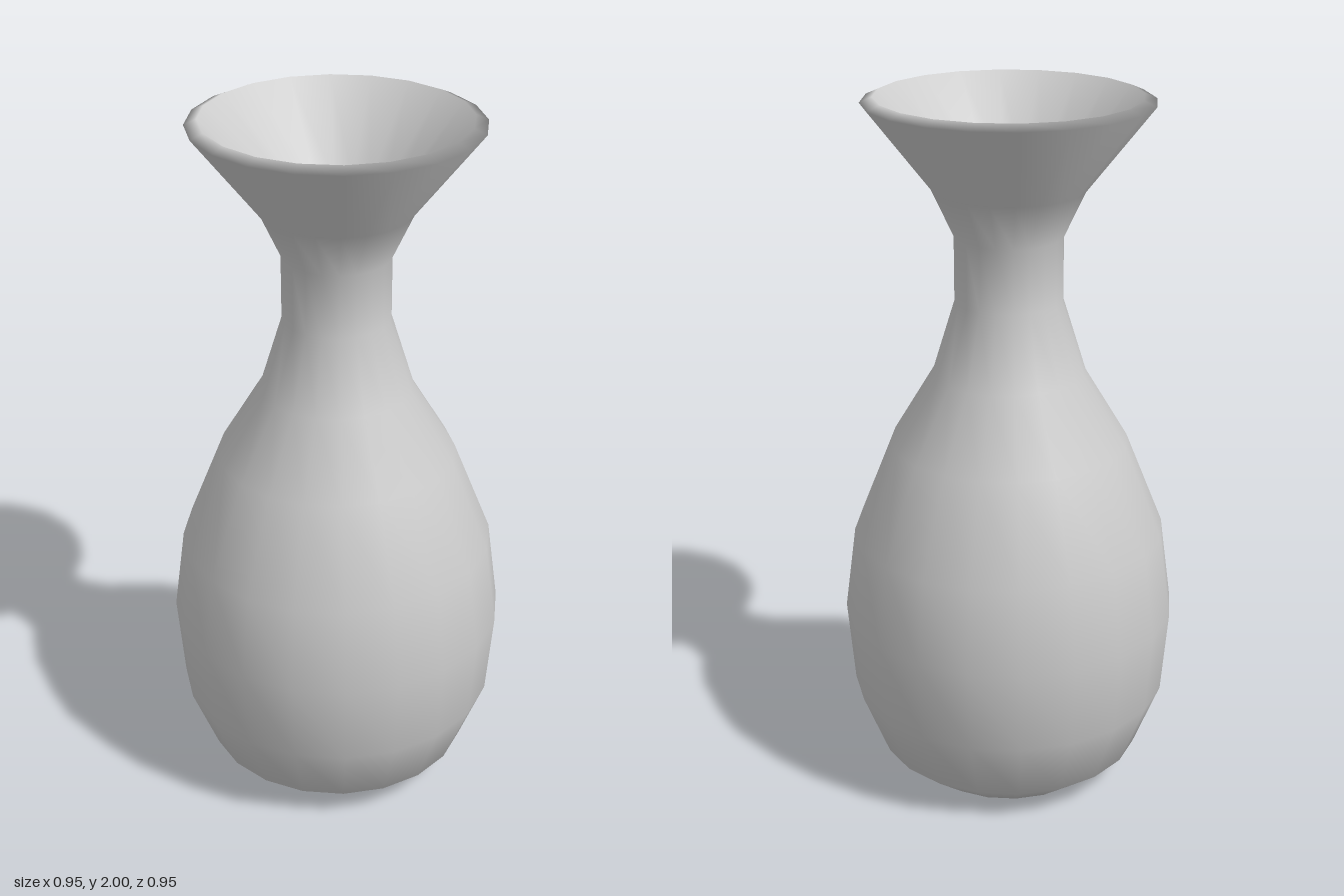
import * as THREE from 'three';

const SIDES = 20;

// Outer wall, from the foot up to the flared lip: [radius, height]
const outer = [
  [0.265, 0], [0.38, 0.09], [0.455, 0.28], [0.475, 0.52], [0.443, 0.76],
  [0.335, 1.03], [0.215, 1.23], [0.15, 1.44], [0.15, 1.62], [0.21, 1.75], [0.394, 1.985],
];

// Inner wall, from the lip down through the neck to the floor
const inner = [
  [0.36, 2], [0.165, 1.775], [0.095, 1.635], [0.095, 1.43], [0.163, 1.205],
  [0.285, 1.0], [0.39, 0.745], [0.42, 0.52], [0.402, 0.295], [0.34, 0.13], [0.245, 0.055],
];

export function createModel() {
  const group = new THREE.Group();
  group.name = 'vase';

  // One closed, smooth turned shell: foot, body, neck, lip and hollow
  const profile = [[0, 0], ...outer, ...inner, [0, 0.055]]
    .map(([r, y]) => new THREE.Vector2(r, y));
  const shell = new THREE.Mesh(
    new THREE.LatheGeometry(profile, SIDES),
    new THREE.MeshStandardMaterial({ color: 0xcccccc }),
  );
  shell.name = 'vaseShell';
  group.add(shell);

  return group;
}
